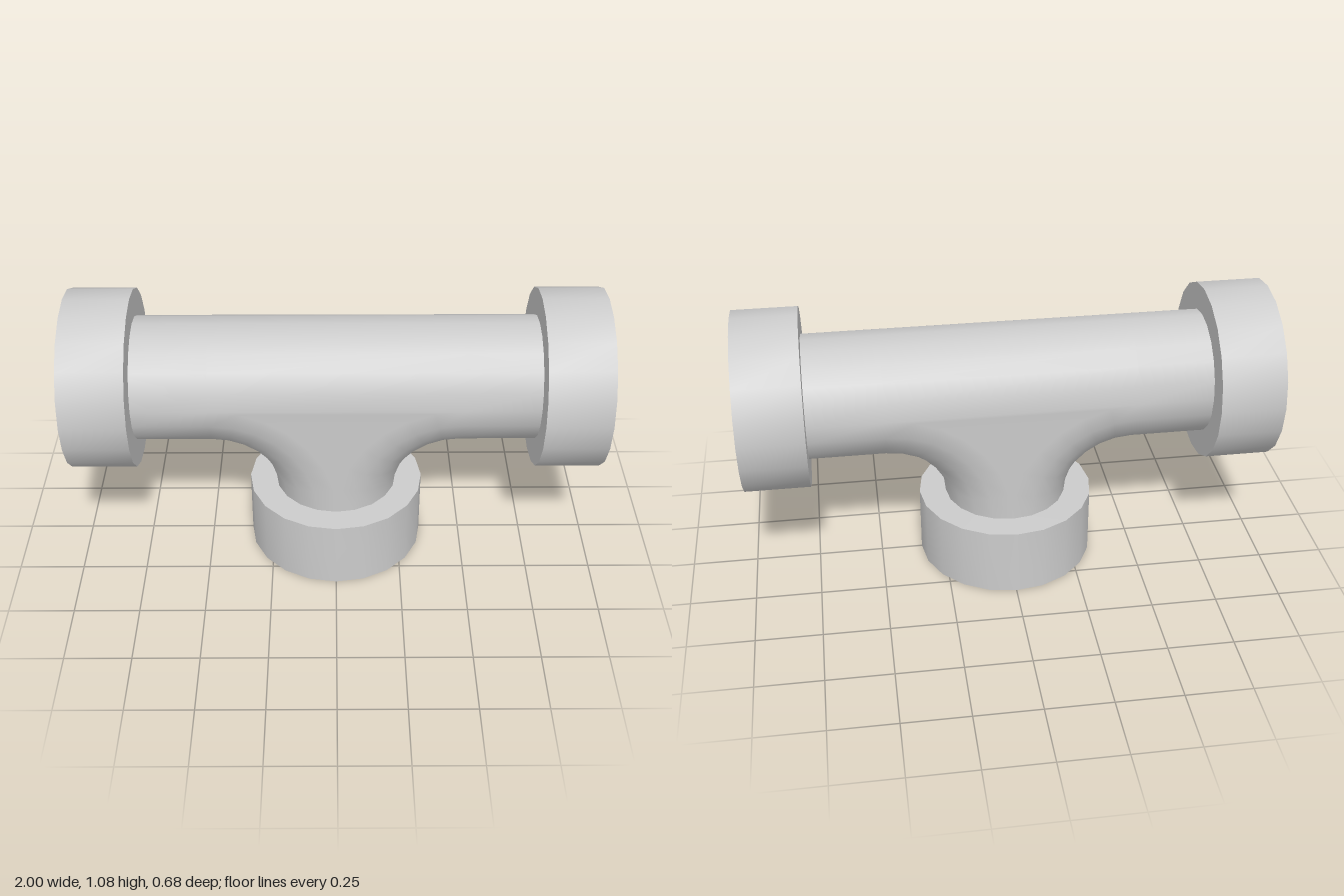
import * as THREE from 'three';
import { mergeGeometries, mergeVertices, toCreasedNormals } from 'three/addons/utils/BufferGeometryUtils.js';

const R = 0.34;       // collar radius
const r = 0.236;      // pipe radius
const axisY = 0.737;  // height of the main pipe axis
const neckY = 0.267;  // top of the lower collar
const endX = 0.755;   // inner face of the end collars
const bend = axisY - neckY;
const SIDES = 20, STEPS = 7;

// Grid surface from f(i, j); its outward side is d/di x d/dj
function grid(f, ni, nj) {
  const pos = [], index = [];
  for (let i = 0; i <= ni; i++) {
    for (let j = 0; j <= nj; j++) pos.push(...f(i, j));
  }
  for (let i = 0; i < ni; i++) {
    for (let j = 0; j < nj; j++) {
      const a = i * (nj + 1) + j, b = a + nj + 1;
      index.push(a, b, b + 1, a, b + 1, a + 1);
    }
  }
  const g = new THREE.BufferGeometry();
  g.setAttribute('position', new THREE.Float32BufferAttribute(pos, 3));
  g.setIndex(index);
  return g;
}

// Tee body: straight upper half, two swept lower halves, flat cheeks between them
function teeBody() {
  const half = SIDES / 2;
  const xs = [-endX, -bend, bend, endX];
  const upper = (i, j) => {
    const v = Math.PI * j / half;
    return [xs[i], axisY + r * Math.sin(v), r * Math.cos(v)];
  };

  // Lower half section, following the bend up from the neck and then out to the collar
  const lower = (i, j) => {
    const v = Math.PI * (1 + j / half);
    const s = Math.PI / 2 * Math.max(0, 1 - i / STEPS);
    const cx = i > STEPS ? endX : bend * (1 - Math.sin(s));
    const cy = neckY + bend * Math.cos(s);
    const k = -r * Math.sin(v);
    return [cx + k * Math.sin(s), cy - k * Math.cos(s), r * Math.cos(v)];
  };
  const lowerMirrored = (i, j) => {
    const [x, y, z] = lower(STEPS + 1 - i, j);
    return [-x, y, z];
  };

  // Flat cheek bounded by the two bend lines
  const cheek = (i, j) => {
    const s = Math.PI / 2 * (1 - j / STEPS);
    return [(i * 2 - 1) * bend * (1 - Math.sin(s)), neckY + bend * Math.cos(s), r];
  };
  const cheekBack = (i, j) => {
    const [x, y, z] = cheek(i, j);
    return [-x, y, -z];
  };

  const g = mergeVertices(mergeGeometries([
    grid(upper, 3, half),
    grid(lower, STEPS + 1, half),
    grid(lowerMirrored, STEPS + 1, half),
    grid(cheek, 1, STEPS),
    grid(cheekBack, 1, STEPS),
  ]), 1e-4);
  g.computeVertexNormals();
  return g;
}

// Hollow collar shell with an annular face at each end
function collar(length) {
  const profile = [[r, 0], [R, 0], [R, length], [r, length]].map(p => new THREE.Vector2(...p));
  return toCreasedNormals(new THREE.LatheGeometry(profile, SIDES), 0.6);
}

export function createModel() {
  const group = new THREE.Group();
  group.name = 'pipeTee';
  const material = new THREE.MeshStandardMaterial({ color: 0xcccccc, side: THREE.DoubleSide });
  const add = (name, geometry) => {
    const mesh = new THREE.Mesh(geometry, material);
    mesh.name = name;
    group.add(mesh);
    return mesh;
  };

  add('teeBody', teeBody());
  add('bottomCollar', collar(neckY));

  // End collars
  for (const side of [1, -1]) {
    const end = add(side > 0 ? 'leftCollar' : 'rightCollar', collar(1 - endX));
    end.rotation.z = -side * Math.PI / 2;
    end.position.set(side * endX, axisY, 0);
  }
  return group;
}
